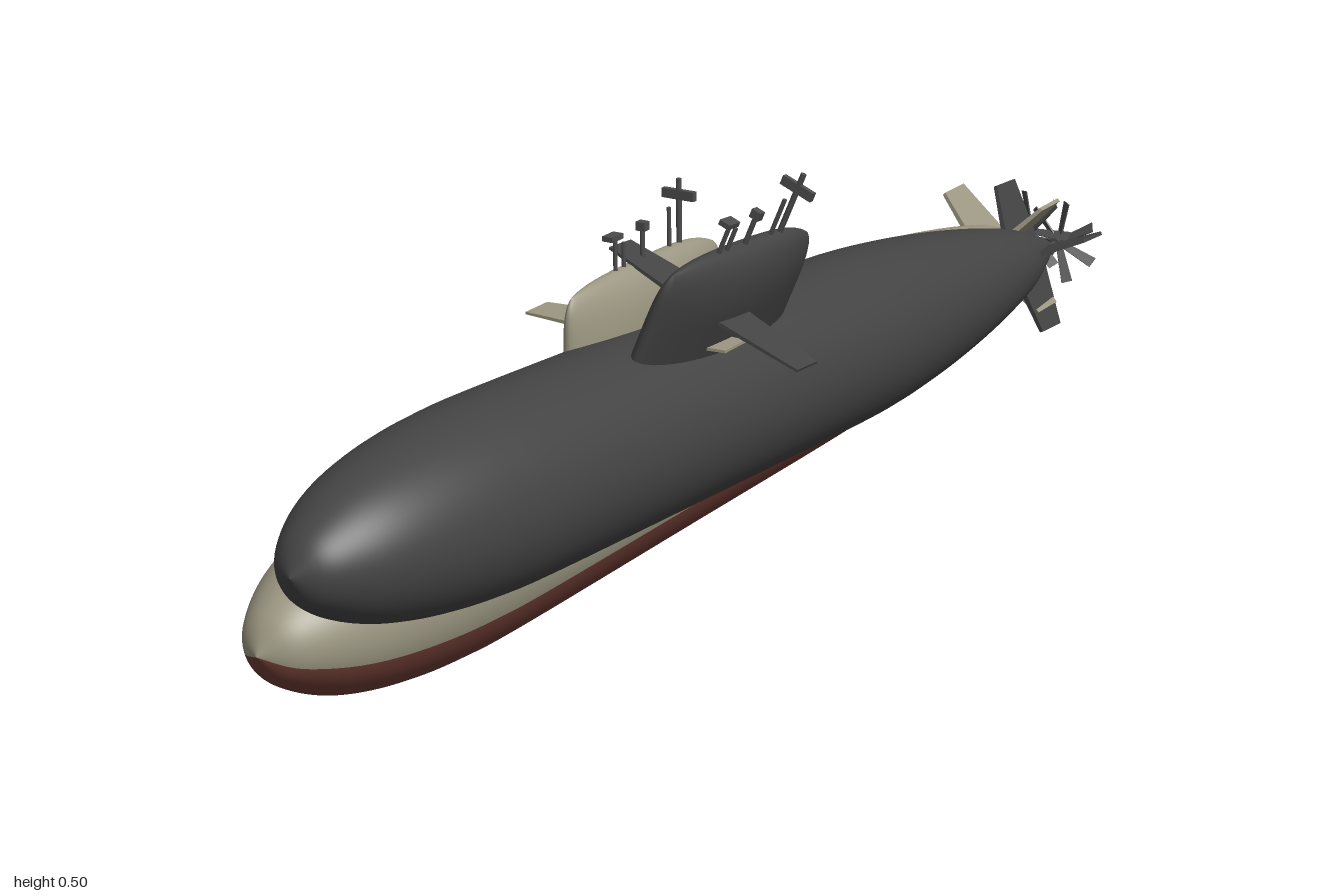
import * as THREE from 'three';
import { ParametricGeometry } from 'three/addons/geometries/ParametricGeometry.js';

const mat = (name, color) => {
  const m = new THREE.MeshStandardMaterial({ color });
  m.name = name;
  return m;
};

// hull radius along the length: [radius, z], stern to bow
const PROFILE = [
  [0, -0.945], [0.012, -0.935], [0.032, -0.88], [0.056, -0.8], [0.076, -0.7], [0.092, -0.6],
  [0.105, -0.5], [0.115, -0.4], [0.122, -0.3], [0.125, -0.18], [0.125, 0.2], [0.125, 0.58],
  [0.121, 0.7], [0.113, 0.78], [0.1, 0.85], [0.083, 0.905], [0.06, 0.95], [0.036, 0.98], [0, 1],
];

function hullSection(startDeg, sweepDeg) {
  const pts = new THREE.SplineCurve(PROFILE.map(([r, z]) => new THREE.Vector2(r, z))).getPoints(80);
  pts.forEach((p) => { p.x = Math.max(0, p.x); });
  const rad = Math.PI / 180;
  const segments = Math.round(sweepDeg / 5);
  // angle 0 is the keel once laid along z
  return new THREE.LatheGeometry(pts, segments, startDeg * rad, sweepDeg * rad).rotateX(Math.PI / 2);
}

// sail with elliptical plan and a rounded crown
function sailGeometry() {
  return new ParametricGeometry((u, v, out) => {
    const h = 0.08 + 0.182 * Math.sin(v * Math.PI / 2);
    const s = Math.min(1, Math.max(0, (h - 0.17) / 0.092));
    const a = u * Math.PI * 2;
    const along = -Math.sin(a);
    const width = 0.037 * Math.sqrt(Math.max(0, 1 - s ** 2.3));
    const drop = (along > 0 ? 0.01 : 0.022) * along ** 4 * s;
    out.set(Math.cos(a) * width, h - drop, 0.185 + 0.185 * along * (1 - 0.07 * s ** 6));
  }, 48, 24);
}

// tapered fin running out along +x
function finGeometry(x0, x1, rootZ, tipZ, thick) {
  const g = new THREE.BoxGeometry(1, 1, 1);
  const p = g.attributes.position;
  for (let i = 0; i < p.count; i++) {
    const tip = p.getX(i) > 0;
    const range = tip ? tipZ : rootZ;
    p.setXYZ(i, tip ? x1 : x0, p.getY(i) * thick * (tip ? 0.6 : 1), range[p.getZ(i) > 0 ? 1 : 0]);
  }
  g.computeVertexNormals();
  return g;
}

function submarine(name, upper, lower, gear) {
  const sub = new THREE.Group();
  sub.name = name;
  const add = (part, geo, material, parent = sub) => {
    const m = new THREE.Mesh(geo, material);
    m.name = part;
    parent.add(m);
    return m;
  };

  // hull
  add('upperHull', hullSection(70, 220), upper);
  add('lowerHull', hullSection(-70, 140), lower);

  // sail and its diving planes
  add('sail', sailGeometry(), upper);
  for (const side of [0, 1]) {
    const plane = add('sailPlane',
      finGeometry(0.02, 0.157, [0.175, 0.25], [0.187, 0.238], 0.006), upper);
    plane.position.y = 0.172;
    if (side) {
      plane.rotation.z = Math.PI;
    }
  }

  // crossed stern fins
  for (let i = 0; i < 4; i++) {
    const fin = add('sternFin', finGeometry(0.01, 0.123, [-0.91, -0.805], [-0.9, -0.835], 0.01), upper);
    fin.rotation.z = Math.PI / 4 + i * Math.PI / 2;
  }

  // masts: [z, top, radius]
  for (const [z, top, r] of [[0.255, 0.31, 0.003], [0.235, 0.295, 0.003], [0.19, 0.31, 0.0035],
    [0.125, 0.315, 0.003], [0.1, 0.349, 0.004]]) {
    const mast = add('mast', new THREE.CylinderGeometry(r, r, top - 0.22, 10), gear);
    mast.position.set(0, (top + 0.22) / 2, z);
  }
  add('radarBar', new THREE.BoxGeometry(0.05, 0.013, 0.008), gear).position.set(0, 0.327, 0.1);
  add('sensorHead', new THREE.BoxGeometry(0.016, 0.007, 0.026), gear).position.set(0, 0.308, 0.26);
  add('periscopeHead', new THREE.BoxGeometry(0.014, 0.012, 0.012), gear).position.set(0, 0.306, 0.19);

  // propeller
  const propeller = new THREE.Group();
  propeller.name = 'propeller';
  propeller.position.z = -0.983;
  sub.add(propeller);
  add('hub', new THREE.CylinderGeometry(0.009, 0.004, 0.032, 16).rotateX(Math.PI / 2), gear, propeller);
  const shaft = add('shaft', new THREE.CylinderGeometry(0.004, 0.004, 0.06, 10).rotateX(Math.PI / 2), gear, propeller);
  shaft.position.z = 0.03;
  for (let i = 0; i < 7; i++) {
    const arm = new THREE.Group();
    arm.name = 'blade';
    arm.rotation.z = i * Math.PI * 2 / 7;
    const blade = add('bladePlate', finGeometry(0.005, 0.068, [-0.005, 0.005], [-0.009, 0.009], 0.003), gear, arm);
    blade.rotation.x = 0.9;
    propeller.add(arm);
  }
  return { sub, add };
}

export function createModel() {
  const dark = mat('charcoal', 0x444444);
  const beige = mat('khaki grey', 0x9c9782);
  const red = mat('hull red', 0x6e3c34);
  const blue = mat('panel blue', 0x4478b0);
  const gear = mat('equipment grey', 0x4c4c4c);

  const model = new THREE.Group();
  model.name = 'submarinePair';

  // level two-tone boat
  const first = submarine('khakiSubmarine', beige, red, gear);
  first.sub.position.set(-0.051, 0.128, 0);
  first.add('sidePanel', new THREE.BoxGeometry(0.004, 0.026, 0.07), blue).position.set(-0.039, 0.189, 0.205);
  model.add(first.sub);

  // dark boat, rolled and pitched bow up
  const second = submarine('charcoalSubmarine', dark, dark, gear);
  second.sub.position.set(-0.003, 0.174, -0.005);
  second.sub.rotation.set(-0.059, 0, -22 * Math.PI / 180);
  model.add(second.sub);
  return model;
}
